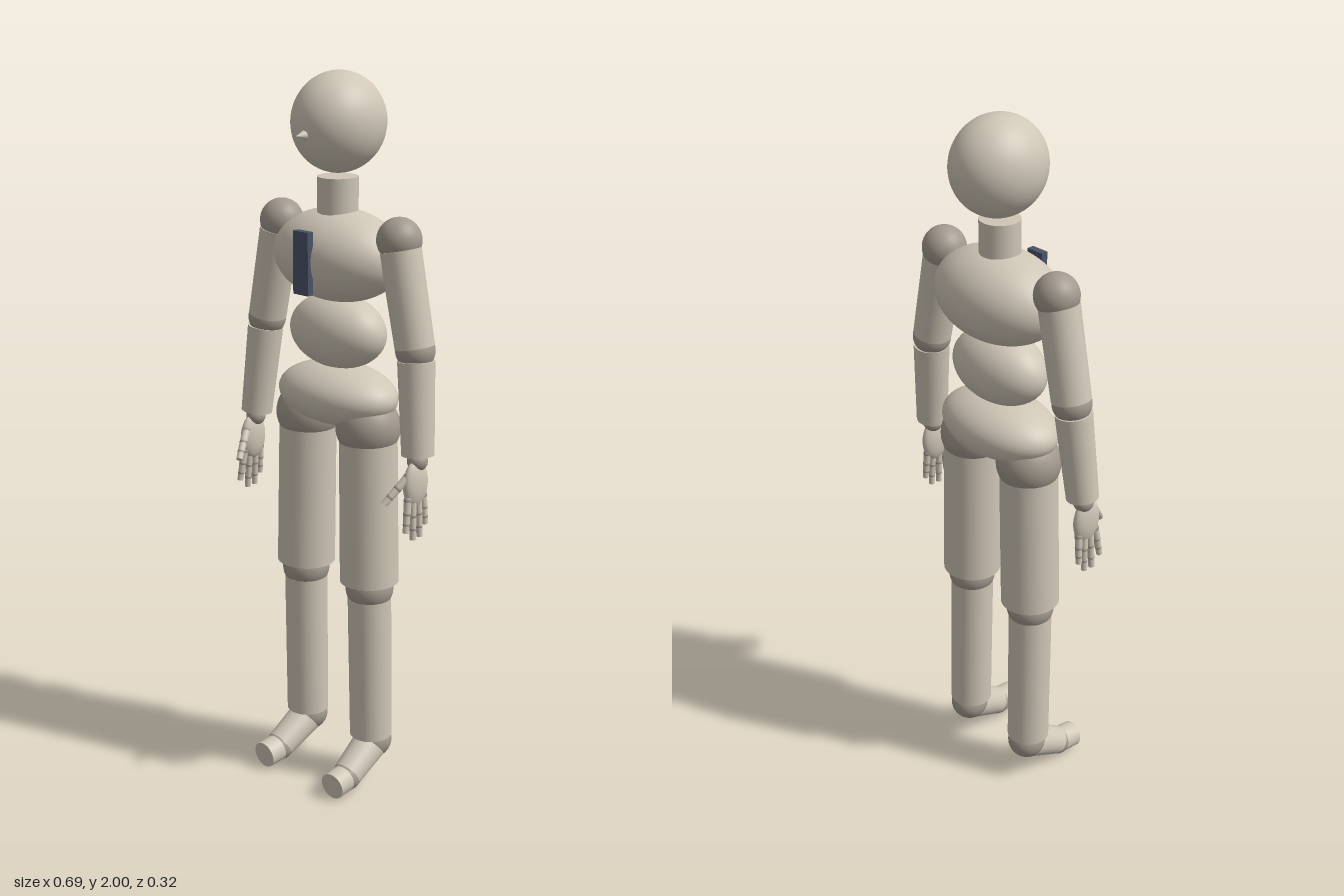
import * as THREE from 'three';

const body = new THREE.MeshStandardMaterial({ color: 0xcfc6b6 });
body.name = 'warm ivory';
const joint = new THREE.MeshStandardMaterial({ color: 0xa39a8e });
joint.name = 'joint taupe';
const slate = new THREE.MeshStandardMaterial({ color: 0x4a5468 });
slate.name = 'dark slate';

function add(group, name, geometry, material, pos) {
  const mesh = new THREE.Mesh(geometry, material);
  mesh.name = name;
  mesh.position.set(...pos);
  group.add(mesh);
  return mesh;
}

// Ellipsoid with separate radii
function ball(group, name, pos, rx, ry = rx, rz = rx, material = body, seg = 40) {
  const mesh = add(group, name, new THREE.SphereGeometry(1, seg, Math.ceil(seg * 0.6)), material, pos);
  mesh.scale.set(rx, ry, rz);
  return mesh;
}

// Cylinder running from point a to point b
function rod(group, name, a, b, ra, rb = ra, seg = 36) {
  const p = new THREE.Vector3(...a), q = new THREE.Vector3(...b);
  const dir = q.clone().sub(p);
  const mid = p.add(q).multiplyScalar(0.5);
  const geo = new THREE.CylinderGeometry(rb, ra, dir.length(), seg);
  const mesh = add(group, name, geo, body, mid.toArray());
  mesh.quaternion.setFromUnitVectors(new THREE.Vector3(0, 1, 0), dir.normalize());
  return mesh;
}

// Three phalanges with a small ball at each knuckle
function finger(hand, name, base, tip, r) {
  const a = new THREE.Vector3(...base), b = new THREE.Vector3(...tip);
  const stops = [0, 0.42, 0.74, 1].map(t => a.clone().lerp(b, t).toArray());
  for (let i = 0; i < 3; i++) {
    const k = r * (1 - i * 0.08);
    ball(hand, name + 'Knuckle', stops[i], k * 1.08, k * 1.08, k * 1.08, joint, 16);
    rod(hand, name + 'Segment', stops[i], stops[i + 1], k, k * 0.95, 16);
  }
}

function makeArm(s) {
  const arm = new THREE.Group();
  ball(arm, 'shoulder', [s * 0.21, 1.584, -0.019], 0.06, 0.06, 0.06, joint);
  rod(arm, 'upperArm', [s * 0.216, 1.56, -0.017], [s * 0.268, 1.31, -0.018], 0.055, 0.053);
  ball(arm, 'elbow', [s * 0.27, 1.302, -0.018], 0.053, 0.053, 0.053, joint);
  rod(arm, 'forearm', [s * 0.275, 1.275, -0.016], [s * 0.299, 1.025, 0], 0.05, 0.044);

  const hand = new THREE.Group();
  hand.name = 'hand';
  ball(hand, 'wrist', [s * 0.3, 1.01, 0.003], 0.028, 0.028, 0.028, joint, 24);
  ball(hand, 'palm', [s * 0.303, 0.95, 0.013], 0.021, 0.066, 0.045, body, 28);
  const z0 = [0.046, 0.026, 0.004, -0.017];
  const z1 = [0.06, 0.03, 0.002, -0.02];
  const yTip = [0.825, 0.798, 0.8, 0.83];
  z0.forEach((z, i) =>
    finger(hand, 'finger', [s * 0.305, 0.912, z], [s * 0.311, yTip[i], z1[i]], 0.0105));
  finger(hand, 'thumb', [s * 0.3, 0.975, 0.042], [s * 0.27, 0.907, 0.102], 0.0115);
  arm.add(hand);
  return arm;
}

function makeLeg(s) {
  const leg = new THREE.Group();
  ball(leg, 'hip', [s * 0.111, 1.06, -0.015], 0.089, 0.089, 0.089, joint);
  rod(leg, 'thigh', [s * 0.112, 1.028, -0.015], [s * 0.12, 0.614, -0.014], 0.08, 0.082);
  ball(leg, 'knee', [s * 0.121, 0.592, -0.014], 0.067, 0.067, 0.067, joint);
  rod(leg, 'shin', [s * 0.121, 0.565, -0.014], [s * 0.124, 0.138, -0.021], 0.061, 0.06);
  ball(leg, 'ankle', [s * 0.125, 0.118, -0.027], 0.055, 0.055, 0.055, joint);
  rod(leg, 'foot', [s * 0.126, 0.105, -0.012], [s * 0.132, 0.05, 0.09], 0.049, 0.042);
  ball(leg, 'toeJoint', [s * 0.132, 0.047, 0.092], 0.041, 0.041, 0.041, joint);
  rod(leg, 'toe', [s * 0.132, 0.046, 0.092], [s * 0.134, 0.04, 0.155], 0.039, 0.038);
  return leg;
}

export function createModel() {
  const model = new THREE.Group();
  model.name = 'jointedMannequin';

  // Head and neck
  ball(model, 'head', [0, 1.868, -0.019], 0.12, 0.132, 0.134, body, 56);
  rod(model, 'nose', [0, 1.846, 0.104], [0, 1.846, 0.142], 0.016, 0.001, 20);
  rod(model, 'neck', [0, 1.61, -0.015], [0, 1.727, -0.015], 0.055);

  // Torso
  ball(model, 'chest', [0, 1.518, -0.019], 0.2, 0.125, 0.14, body, 56);
  ball(model, 'abdomen', [0, 1.31, -0.016], 0.153, 0.102, 0.098, body, 48);
  ball(model, 'pelvis', [0, 1.136, -0.016], 0.19, 0.085, 0.124, body, 48);
  add(model, 'chestPlate', new THREE.BoxGeometry(0.053, 0.168, 0.02), slate, [0, 1.516, 0.12]);

  // Limbs, mirrored across x
  for (const [side, s] of [['left', 1], ['right', -1]]) {
    const arm = makeArm(s), leg = makeLeg(s);
    arm.name = side + 'Arm';
    leg.name = side + 'Leg';
    model.add(arm, leg);
  }
  return model;
}
